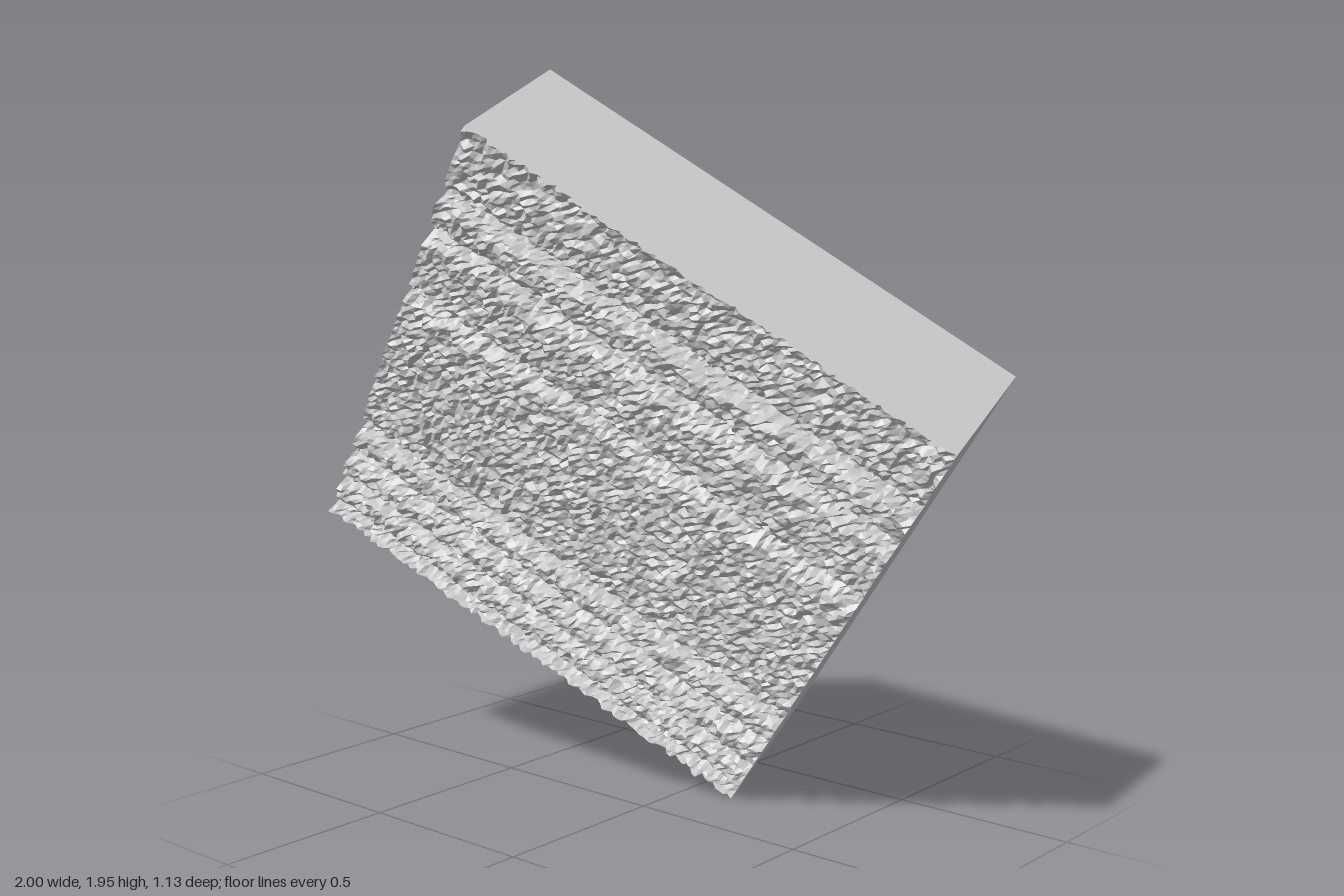
import * as THREE from 'three';

const SIZE = 1.394;   // edge of the square slab
const DEPTH = 0.4;    // back plane to the rough face
const COLS = 110, ROWS = 140;

// Horizontal clefts: [position from the top edge (0..1), depth]
const CLEFTS = [
  [0.148, 0.086], [0.24, 0.052], [0.388, 0.042],
  [0.75, 0.08], [0.828, 0.056], [0.908, 0.06], [0.98, 0.066],
];

// Repeatable noise in -1..1
function noise(i, j) {
  let h = Math.imul(i + 11, 374761393) + Math.imul(j + 7, 668265263);
  h = Math.imul(h ^ (h >>> 13), 1274126177);
  return (((h ^ (h >>> 16)) >>> 0) / 4294967295) * 2 - 1;
}

// Face profile from top to bottom, evenly sampled: x = distance down, y = height
function faceProfile() {
  const pts = [[0, 0], [0.02, 0.012], [0.06, 0.002]];
  for (const [s, d] of CLEFTS) {
    pts.push([s - 0.028, 0.003], [s - 0.013, 0.016], [s - 0.003, d], [s + 0.01, d * 0.55], [s + 0.019, 0.006]);
    if (s < 0.9) pts.push([s + 0.03, -0.002]);
  }
  pts.push([1, 0]);
  const path = new THREE.CurvePath();
  const v = pts.map(([s, d]) => new THREE.Vector2(s * SIZE, DEPTH - d));
  for (let i = 1; i < v.length; i++) path.add(new THREE.LineCurve(v[i - 1], v[i]));
  return path.getSpacedPoints(ROWS);
}

// Surface from a grid of points
function gridGeometry(cols, rows, point) {
  const pos = [], index = [];
  for (let i = 0; i <= rows; i++) {
    for (let j = 0; j <= cols; j++) pos.push(...point(i, j));
  }
  for (let i = 0; i < rows; i++) {
    for (let j = 0; j < cols; j++) {
      const a = i * (cols + 1) + j, b = a + cols + 1;
      index.push(a, b, a + 1, b, b + 1, a + 1);
    }
  }
  const g = new THREE.BufferGeometry();
  g.setAttribute('position', new THREE.Float32BufferAttribute(pos, 3));
  g.setIndex(index);
  g.computeVertexNormals();
  return g;
}

export function createModel() {
  const material = new THREE.MeshStandardMaterial({ color: 0xcccccc, flatShading: true });
  const model = new THREE.Group();
  model.name = 'rockSlab';
  const block = new THREE.Group();
  block.name = 'tiltedBlock';
  model.add(block);

  const add = (name, geometry) => {
    const mesh = new THREE.Mesh(geometry, material);
    mesh.name = name;
    block.add(mesh);
    return mesh;
  };

  // Rough point on the face; edges move only within their own side plane
  const profile = faceProfile();
  const facePoint = (i, j) => {
    const p = profile[i];
    const insideX = j > 0 && j < COLS ? 1 : 0;
    const insideY = i > 0 && i < ROWS ? 1 : 0;
    return [
      (j / COLS - 0.5) * SIZE + insideX * 0.003 * noise(i + 500, j),
      SIZE / 2 - p.x + insideY * 0.003 * noise(i, j + 500),
      p.y + 0.009 * noise(i, j) + 0.005 * noise((i >> 1) + 900, j >> 1),
    ];
  };
  const dropped = ([x, y]) => [x, y, 0];

  // Rough, cleft face
  add('rockFace', gridGeometry(COLS, ROWS, facePoint));

  // Flat cut sides running from the rough edge to the back plane
  const side = (name, count, edge) => add(name, gridGeometry(count, 1, (i, k) => {
    const p = edge(k);
    return i === 0 ? p : dropped(p);
  }));
  side('bottomSide', COLS, (k) => facePoint(ROWS, k));
  side('topSide', COLS, (k) => facePoint(0, COLS - k));
  side('leftSide', ROWS, (k) => facePoint(ROWS - k, COLS));
  side('rightSide', ROWS, (k) => facePoint(k, 0));

  // Flat back
  add('back', new THREE.PlaneGeometry(SIZE, SIZE)).rotation.y = Math.PI;

  // Tilt of the whole slab
  const x = new THREE.Vector3(1.08, -0.74, -0.48).normalize();
  const z = new THREE.Vector3(0.157, -0.365, 0.918);
  z.addScaledVector(x, -z.dot(x)).normalize();
  const y = new THREE.Vector3().crossVectors(z, x);
  block.quaternion.setFromRotationMatrix(new THREE.Matrix4().makeBasis(x, y, z));
  block.position.set(-0.035, 1.055, -0.19);
  return model;
}
